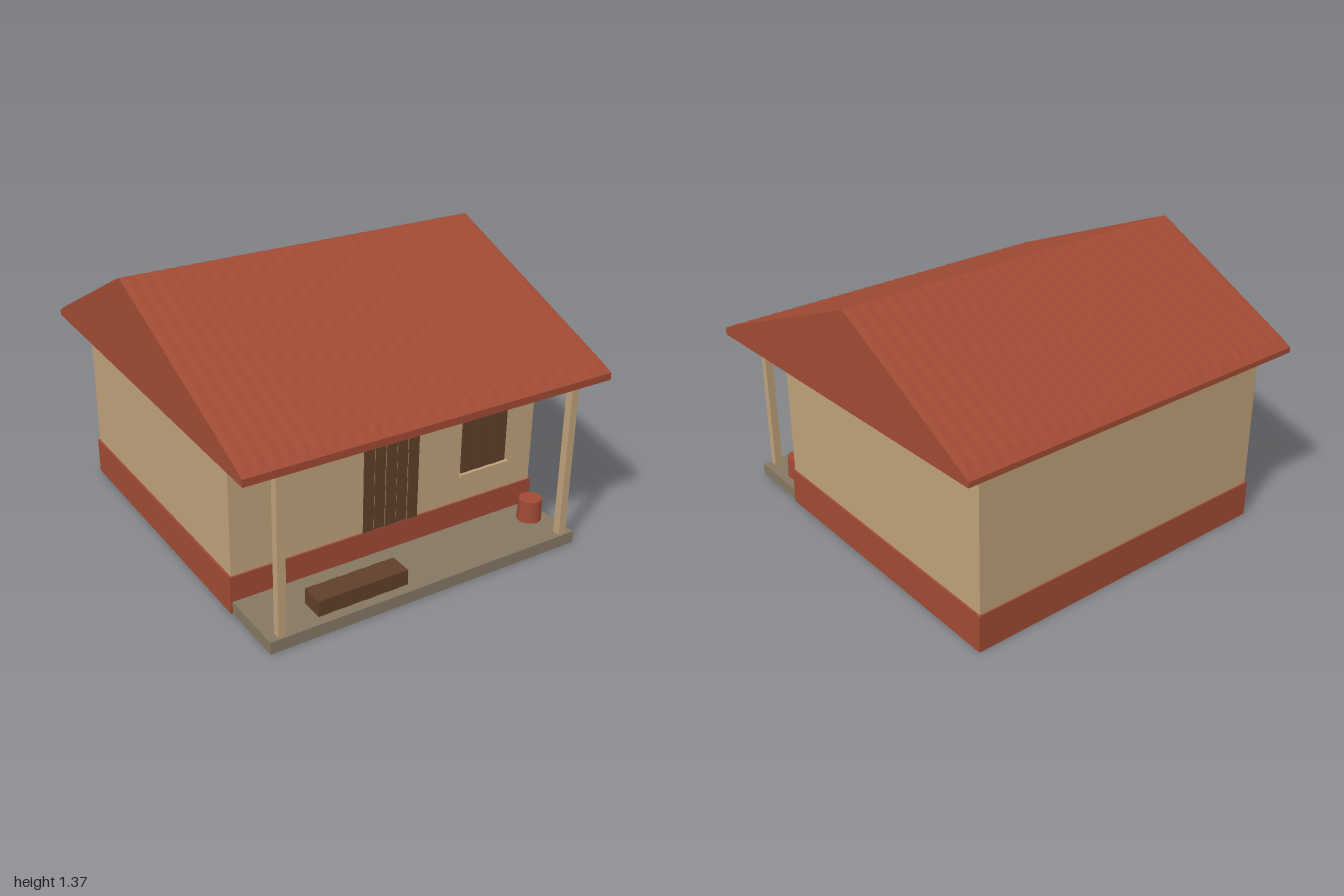
import * as THREE from 'three';

function material(name, color) {
  const m = new THREE.MeshStandardMaterial({ color });
  m.name = name;
  return m;
}

export function createModel() {
  const house = new THREE.Group();
  house.name = 'house';
  const plaster = material('tan plaster', 0xbda079);
  const clay = material('red clay', 0xa04a33);
  const wood = material('dark wood', 0x5f3f2b);
  const stone = material('grey brown stone', 0x847661);

  // Box given by its limits on each axis
  function box(name, mat, [x0, x1], [y0, y1], [z0, z1], parent = house) {
    const mesh = new THREE.Mesh(new THREE.BoxGeometry(x1 - x0, y1 - y0, z1 - z0), mat);
    mesh.position.set((x0 + x1) / 2, (y0 + y1) / 2, (z0 + z1) / 2);
    mesh.name = name;
    parent.add(mesh);
    return mesh;
  }

  // Row of upright boards, alternating slightly in depth
  function boards(name, count, gap, [x0, x1], [y0, y1], [z0, z1]) {
    const group = new THREE.Group();
    group.name = name;
    const pitch = (x1 - x0 + gap) / count;
    for (let i = 0; i < count; i++) {
      const left = x0 + i * pitch;
      box('board', wood, [left, left + pitch - gap], [y0, y1 - (i % 2) * 0.002],
        [z0, z1 - (i % 2) * 0.002], group);
    }
    house.add(group);
  }

  // Walls, painted plinth and porch floor
  box('walls', plaster, [-0.85, 0.85], [0.002, 0.91], [-0.91, 0.626]);
  box('plinth', clay, [-0.86, 0.86], [0, 0.19], [-0.918, 0.634]);
  box('porchFloor', stone, [-0.85, 0.85], [0, 0.06], [0.63, 0.98]);

  // Porch posts
  for (const side of [-1, 1]) {
    const x = side * 0.785;
    box(side > 0 ? 'leftPost' : 'rightPost', plaster, [x - 0.02, x + 0.02], [0.06, 0.88], [0.93, 0.97]);
  }

  // Door, window and sill
  boards('door', 5, 0.006, [-0.155, 0.152], [0.06, 0.672], [0.61, 0.633]);
  boards('windowShutter', 6, 0.001, [0.407, 0.68], [0.34, 0.648], [0.61, 0.633]);
  box('windowSill', plaster, [0.4, 0.69], [0.328, 0.347], [0.61, 0.65]);

  // Bench and clay jar on the porch
  boards('bench', 8, 0.001, [-0.58, -0.105], [0.06, 0.14], [0.81, 0.93]);
  const jar = new THREE.Mesh(new THREE.CylinderGeometry(0.057, 0.062, 0.115, 16), clay);
  jar.position.set(0.75, 0.1175, 0.765);
  jar.name = 'jar';
  house.add(jar);

  // Solid gable roof: side profile (z, y) swept along x, top gently corrugated
  const profile = [[1, 0.857], [1, 0.893], [0.93, 0.927], [-0.12, 1.363], [-0.14, 1.371],
    [-0.175, 1.357], [-0.93, 0.978], [-1, 0.938], [-1, 0.911]];
  const steps = 56;
  const shape = new THREE.Shape(profile.map(([z, y]) => new THREE.Vector2(z, y)));
  const roofGeometry = new THREE.ExtrudeGeometry(shape, { depth: 1.94, steps, bevelEnabled: false });
  const p = roofGeometry.attributes.position;
  for (let i = 0; i < p.count; i++) {
    const row = Math.round(p.getZ(i) / 1.94 * steps);
    const onTop = Math.abs(p.getX(i)) < 0.95;
    if (onTop && row % 2) p.setY(i, p.getY(i) + 0.003);
  }
  roofGeometry.rotateY(-Math.PI / 2);
  roofGeometry.translate(0.97, 0, 0);
  roofGeometry.computeVertexNormals();
  const roof = new THREE.Mesh(roofGeometry, clay);
  roof.name = 'roof';
  house.add(roof);

  return house;
}
